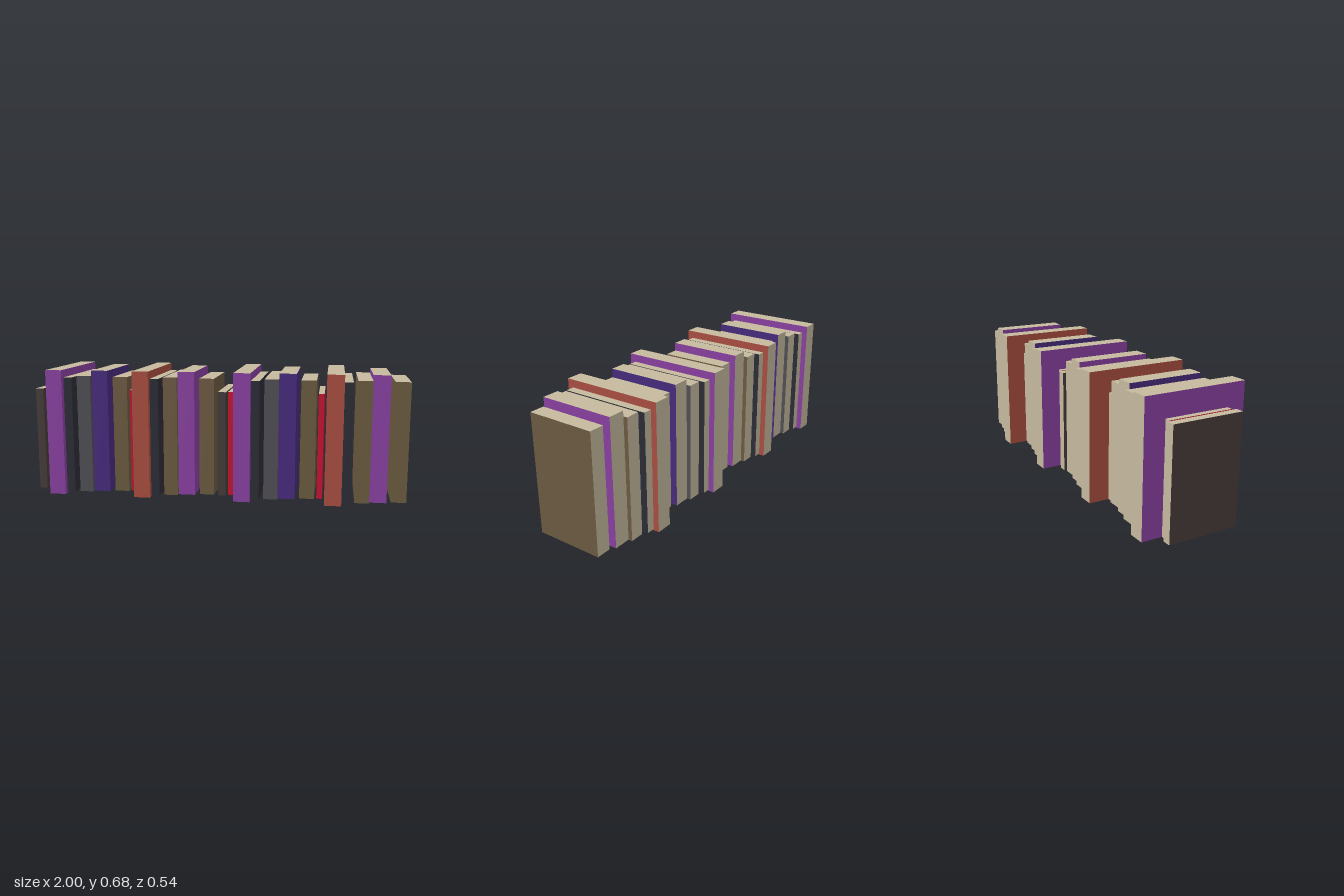
import * as THREE from 'three';

const material = (name, color) => {
  const m = new THREE.MeshStandardMaterial({ color });
  m.name = name;
  return m;
};

export function createModel() {
  const group = new THREE.Group();
  group.name = 'bookRow';

  const pages = material('pages', 0xc5b89e);
  const covers = {
    umber: material('umber', 0x453b3a),
    crimson: material('crimson', 0xc41230),
    purple: material('purple', 0x8840a0),
    black: material('black', 0x2b2c35),
    grey: material('grey', 0x4f4e54),
    indigo: material('indigo', 0x472a7c),
    brown: material('brown', 0x6b5a40),
    brick: material('brick', 0xa84d40),
  };

  // One book: cover on the spine and both sides, pages on top, bottom and back
  function addBook(shape, colour, shift) {
    const [x0, x1, y0, y1, halfDepth] = shape;
    const cover = covers[colour];
    const book = new THREE.Mesh(
      new THREE.BoxGeometry(x1 - x0, y1 - y0, halfDepth * 2),
      [cover, cover, pages, pages, cover, pages]
    );
    book.name = colour + 'Book';
    book.position.set((x0 + x1) / 2 + shift, (y0 + y1) / 2, 0);
    group.add(book);
  }

  // Book sizes: left edge, right edge, bottom, top, half depth
  const small = [-1, -0.957, 0.007, 0.567, 0.188];
  const set = [
    [-0.948, -0.918, 0.007, 0.567, 0.17],
    [-0.906, -0.818, 0, 0.677, 0.272],
    [-0.818, -0.773, 0.007, 0.636, 0.241],
    [-0.751, -0.676, 0.007, 0.643, 0.223],
    [-0.676, -0.587, 0.007, 0.671, 0.201],
    [-0.564, -0.485, 0.007, 0.636, 0.181],
  ];
  const firstColours = ['crimson', 'purple', 'black', 'grey', 'indigo', 'brown'];
  const secondColours = ['crimson', 'brick', 'black', 'brown', 'purple', 'brown'];

  // The run of thirteen books appears twice along the row
  for (const shift of [0, 1.01]) {
    addBook(small, 'umber', shift);
    set.forEach((shape, i) => {
      addBook(shape, firstColours[i], shift);
      addBook(shape, secondColours[i], shift + 0.474);
    });
  }
  return group;
}
